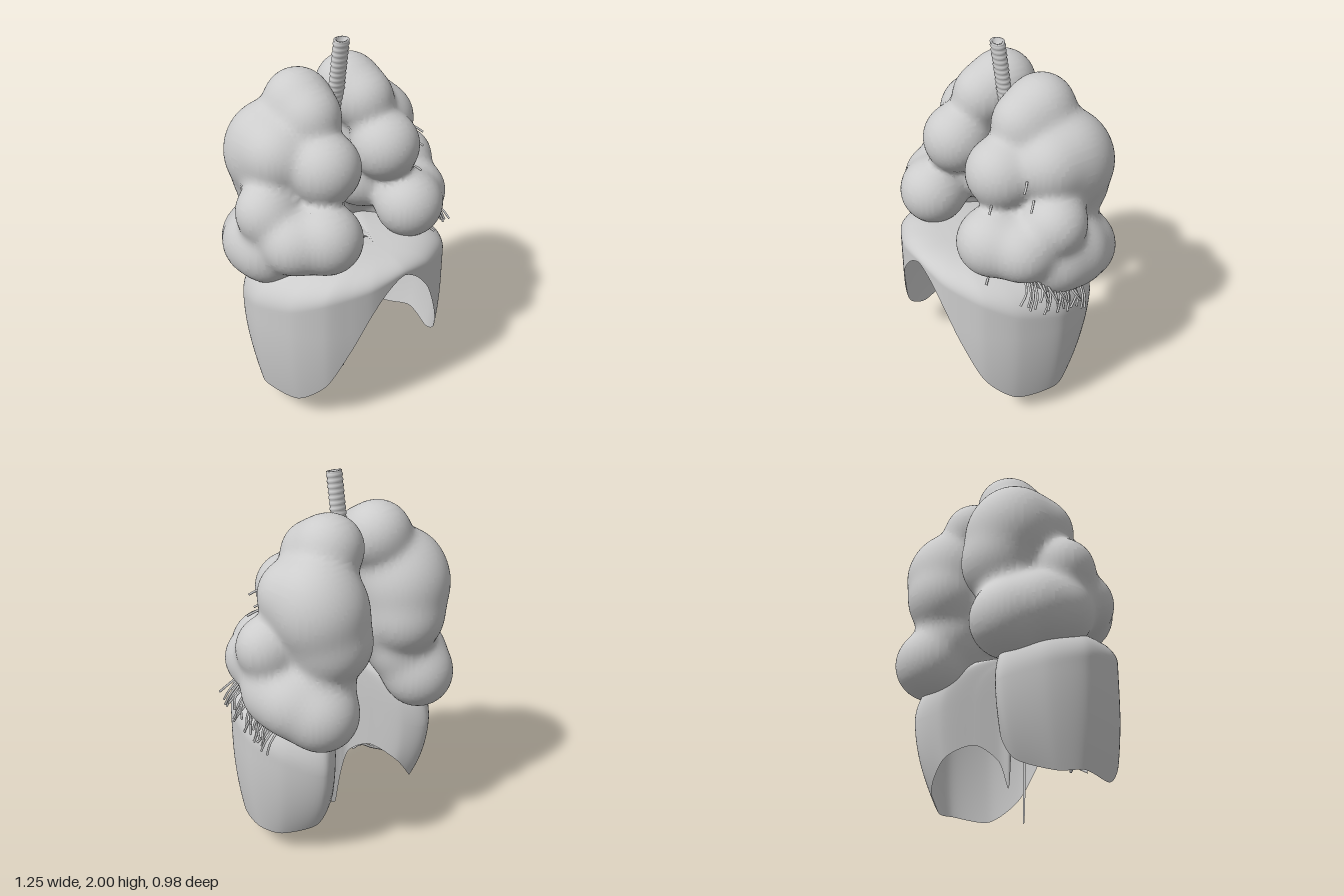
import * as THREE from 'three';

const tissue = new THREE.MeshStandardMaterial({ color: 0xcccccc });
tissue.name = 'grey tissue';
const sheet = new THREE.MeshStandardMaterial({ color: 0xcccccc, side: THREE.DoubleSide });
sheet.name = 'grey membrane';

const V = (x, y, z) => new THREE.Vector3(x, y, z);

function add(parent, name, geometry, material = tissue) {
  const mesh = new THREE.Mesh(geometry, material);
  mesh.name = name;
  parent.add(mesh);
  return mesh;
}

function makeGeometry(positions, indices) {
  const g = new THREE.BufferGeometry();
  g.setAttribute('position', new THREE.Float32BufferAttribute(positions, 3));
  g.setIndex(indices);
  g.computeVertexNormals();
  return g;
}

// Lobes of one lung: x, y, z, radius
const LOBES = [
  [0.165, 1.675, -0.15, 0.17], [0.175, 1.63, -0.03, 0.15],   // apex
  [0.2, 1.41, 0.11, 0.18],                                   // middle front
  [0.34, 1.46, -0.08, 0.175],                                // middle outer side
  [0.29, 1.4, -0.235, 0.23], [0.3, 1.48, -0.21, 0.2],        // upper back
  [0.26, 1.24, -0.28, 0.195],
  [0.28, 1.08, 0.22, 0.18], [0.42, 1.07, 0.13, 0.16],        // lower front
  [0.465, 1.2, -0.03, 0.16], [0.435, 0.96, -0.06, 0.185],    // outer side
  [0.35, 0.885, -0.295, 0.19], [0.43, 0.94, -0.18, 0.18],    // lower back
  [0.29, 1.03, -0.21, 0.18], [0.205, 1.17, -0.08, 0.185],    // core
];

// Smoothly blended lobes, meshed on a grid and pulled onto the surface
function lungGeometry(side) {
  const k = 0.026, h = 0.021;
  const field = (x, y, z) => {
    let sum = 0;
    for (const [a, b, c, r] of LOBES) sum += Math.exp((r - Math.hypot(x - a * side, y - b, z - c)) / k);
    return -k * Math.log(sum + 1e-30);
  };
  const n = [38, 66, 56];
  const origin = [side > 0 ? -0.06 : 0.06 - n[0] * h, 0.6, -0.6];
  const at = (i, axis) => origin[axis] + i * h;
  const id = (c) => (c[0] * n[1] + c[1]) * n[2] + c[2];
  const values = new Float32Array(n[0] * n[1] * n[2]);
  for (let i = 0; i < n[0]; i++)
    for (let j = 0; j < n[1]; j++)
      for (let l = 0; l < n[2]; l++) values[id([i, j, l])] = field(at(i, 0), at(j, 1), at(l, 2));

  const positions = [], indices = [], known = new Map();
  const vertex = (c) => {
    const key = id(c);
    if (!known.has(key)) {
      let p = c.map((i, axis) => at(i + 0.5, axis));
      for (let s = 0; s < 4; s++) {
        const f = field(...p), e = 0.001;
        const g = V(field(p[0] + e, p[1], p[2]) - f, field(p[0], p[1] + e, p[2]) - f, field(p[0], p[1], p[2] + e) - f);
        g.normalize();
        p = [p[0] - f * g.x, p[1] - f * g.y, p[2] - f * g.z];
      }
      known.set(key, positions.length / 3);
      positions.push(...p);
    }
    return known.get(key);
  };
  for (let i = 1; i < n[0] - 1; i++)
    for (let j = 1; j < n[1] - 1; j++)
      for (let l = 1; l < n[2] - 1; l++)
        for (let axis = 0; axis < 3; axis++) {
          const c = [i, j, l], next = [...c];
          next[axis]++;
          const inside = values[id(c)] < 0;
          if (inside === values[id(next)] < 0) continue;
          const u = (axis + 1) % 3, v = (axis + 2) % 3;
          const corner = (du, dv) => {
            const q = [...c];
            q[u] -= du;
            q[v] -= dv;
            return vertex(q);
          };
          const quad = [corner(1, 1), corner(0, 1), corner(0, 0), corner(1, 0)];
          if (!inside) quad.reverse();
          indices.push(quad[0], quad[1], quad[2], quad[0], quad[2], quad[3]);
        }
  return makeGeometry(positions, indices);
}

// Outline of the diaphragm: x, z, shoulder height, hem height
const SIDE = [
  [0.1, 0.485, 0.87, 0.82], [0.2, 0.47, 0.85, 0.7], [0.3, 0.43, 0.83, 0.5], [0.42, 0.36, 0.8, 0.26],
  [0.53, 0.22, 0.74, 0.13], [0.59, 0, 0.69, 0.14], [0.53, -0.2, 0.63, 0.13], [0.38, -0.36, 0.57, 0.19],
  [0.25, -0.29, 0.6, 0.34], [0.165, -0.13, 0.66, 0.42],
];
const CRURA = [
  [0.11, -0.01, 0.7, 0.34], [0.08, 0.03, 0.7, 0.2], [0.08, 0.05, 0.7, 0.42], [0.03, 0.05, 0.7, 0.57],
  [-0.025, 0.05, 0.7, 0.52], [-0.04, 0.05, 0.7, 0.32], [-0.022, 0.045, 0.7, 0.02], [-0.045, 0.035, 0.7, 0],
  [-0.075, 0.02, 0.7, 0.2], [-0.11, -0.01, 0.7, 0.35],
];

function diaphragmGeometry() {
  const mirrored = SIDE.map(([x, ...rest]) => [-x, ...rest]).reverse();
  const rows = [[0, 0.49, 0.885, 0.875], ...SIDE, ...CRURA, ...mirrored];
  const shoulder = new THREE.CatmullRomCurve3(rows.map(([x, z, y]) => V(x, y, z)), true, 'catmullrom', 0.4);
  const hem = new THREE.CatmullRomCurve3(rows.map(([x, z, , y]) => V(x, y, z)), true, 'catmullrom', 0.4);
  const around = rows.length * 10, dome = 30, wall = 26, down = dome + wall;
  const positions = [], indices = [];
  for (let i = 0; i <= around; i++) {
    const s = shoulder.getPoint(i / around), e = hem.getPoint(i / around);
    for (let j = 0; j <= down; j++) {
      if (j <= dome) {
        const r = Math.sin((j / dome) * Math.PI / 2);
        const y = s.y + (0.95 - s.y) * Math.sqrt(Math.max(0, 1 - r ** 3));
        positions.push(s.x * r, y, 0.28 + (s.z - 0.28) * r);
      } else {
        // The outer walls draw in towards the hem, most of all at the back
        const t = (j - dome) / wall, y = s.y + (Math.max(e.y, 0) - s.y) * t;
        const low = Math.max(0, 0.6 - y) ** 2, outer = THREE.MathUtils.smoothstep(Math.abs(s.x), 0.1, 0.3);
        positions.push(s.x * (1 - 0.35 * low * outer), y, s.z * (1 - (s.z < 0 ? 1.7 : 0.35) * low * outer));
      }
    }
  }
  for (let i = 0; i < around; i++)
    for (let j = 0; j < down; j++) {
      const a = i * (down + 1) + j, b = a + down + 1;
      // Oval opening for the vessel through the back wall
      const [x, y, z] = [0, 1, 2].map((q) => (positions[a * 3 + q] + positions[(b + 1) * 3 + q]) / 2);
      if (z < 0.2 && Math.hypot((x - 0.055) / 0.036, (y - 0.785) / 0.045) < 1) continue;
      indices.push(a, a + 1, b, b, a + 1, b + 1);
    }
  return makeGeometry(positions, indices);
}

const tube = (points, radius) =>
  new THREE.TubeGeometry(new THREE.CatmullRomCurve3(points.map((p) => V(...p))), 14, radius, 7);

export function createModel() {
  const model = new THREE.Group();
  model.name = 'lungsAndDiaphragm';

  add(model, 'leftLung', lungGeometry(1));
  add(model, 'rightLung', lungGeometry(-1));
  add(model, 'diaphragm', diaphragmGeometry(), sheet);

  // Windpipe with ribbed rings, leaning back towards the bottom
  const profile = [new THREE.Vector2(0, 0)], rings = 20, length = 0.55;
  for (let i = 0; i <= rings * 4; i++)
    profile.push(new THREE.Vector2(0.044 + 0.003 * Math.sin((i / 4) * Math.PI * 2), (i / (rings * 4)) * length));
  profile.push(new THREE.Vector2(0.03, length), new THREE.Vector2(0.028, length - 0.03), new THREE.Vector2(0, length - 0.03));
  const windpipe = add(model, 'windpipe', new THREE.LatheGeometry(profile, 20), sheet);
  windpipe.position.set(0, 1.455, -0.085);
  windpipe.rotation.x = 0.15;
  windpipe.scale.z = 0.75;

  // Airways branching into the lungs
  for (const s of [-1, 1])
    add(model, s > 0 ? 'leftAirway' : 'rightAirway',
      tube([[0, 1.48, -0.085], [s * 0.03, 1.42, -0.08], [s * 0.12, 1.35, -0.08], [s * 0.2, 1.28, -0.08]], 0.027));

  // Fine vessels poking out of the lower left lung
  let seed = 7;
  const random = () => (seed = (seed * 16807) % 2147483647) / 2147483647;
  const vessels = new THREE.Group();
  vessels.name = 'vessels';
  model.add(vessels);
  for (let i = 0; i < 24; i++) {
    const t = i / 24, z = 0.18 - 0.36 * t, y = 0.97 - 0.17 * t, x = 0.54 + 0.03 * random();
    const dz = (random() - 0.4) * 0.14, drop = 0.07 + 0.08 * random();
    add(vessels, 'vessel', tube([[x - 0.03, y, z], [x + 0.02, y - drop * 0.5, z + dz * 0.4], [x + 0.035, y - drop, z + dz]], 0.006));
  }
  for (const [x, y, z] of [[0.3, 1.3, 0.24], [0.45, 1.34, 0.1], [0.42, 1.44, 0.12], [0.44, 1.19, 0.17], [0.36, 0.93, 0.3]])
    add(vessels, 'vesselStub', tube([[x - 0.02, y + 0.015, z - 0.02], [x, y, z], [x + 0.02, y - 0.02, z + 0.025]], 0.006));

  // Branching vessel inside the right wall of the diaphragm
  add(vessels, 'innerVessel', tube([[-0.48, 0.16, 0.08], [-0.4, 0.2, 0.1], [-0.33, 0.24, 0.12], [-0.28, 0.22, 0.14]], 0.008));
  add(vessels, 'innerVesselBranch', tube([[-0.32, 0.235, 0.12], [-0.33, 0.28, 0.1], [-0.38, 0.31, 0.08]], 0.008));

  return model;
}
